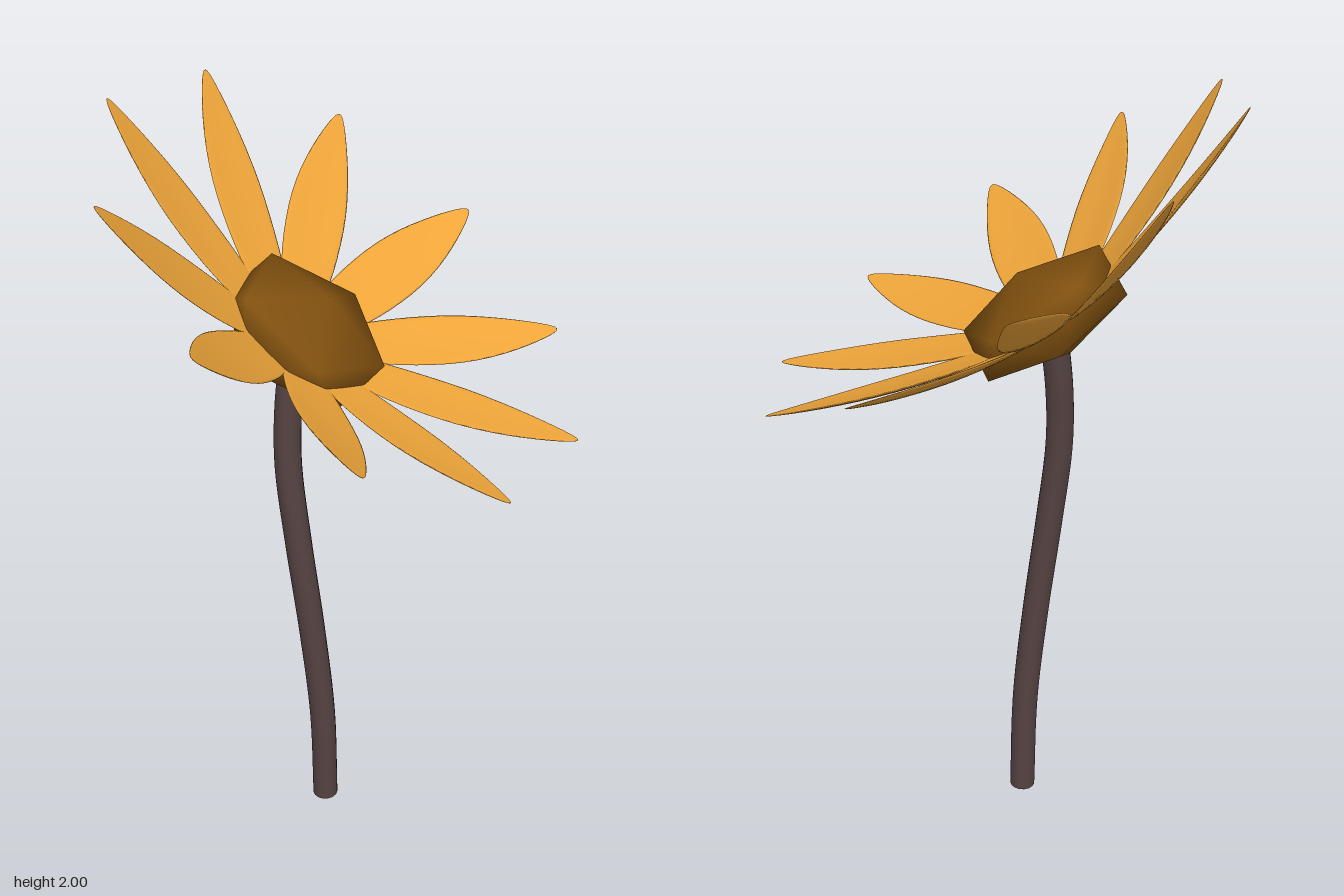
import * as THREE from 'three';
import { mergeVertices } from 'three/addons/utils/BufferGeometryUtils.js';

const petalMaterial = new THREE.MeshStandardMaterial({ color: 0xf0a63a });
const centreMaterial = new THREE.MeshStandardMaterial({ color: 0x80500f });
const stemMaterial = new THREE.MeshStandardMaterial({ color: 0x554242 });

function part(name, geometry, material) {
  const mesh = new THREE.Mesh(geometry, material);
  mesh.name = name;
  return mesh;
}

// Thin pointed leaf along +x: a sphere flattened, tapered, cupped and bent upwards.
function petalGeometry() {
  const geometry = new THREE.SphereGeometry(1, 20, 24).rotateZ(-Math.PI / 2);
  const p = geometry.attributes.position;
  for (let i = 0; i < p.count; i++) {
    const s = p.getX(i), t = p.getY(i), w = p.getZ(i);
    const u = 0.362 + 0.302 * s;
    const taper = s > 0 ? 1 - 0.45 * s * s : 1;
    const spine = 0.01 + 0.2 * u + 0.24 * u * u;
    p.setXYZ(i, u, spine + 0.007 * t + 0.008 * w * w, 0.08 * w * taper);
  }
  geometry.deleteAttribute('uv');
  geometry.deleteAttribute('normal');
  const smooth = mergeVertices(geometry, 1e-5);
  smooth.computeVertexNormals();
  return smooth;
}

// Squashed icosahedron standing on a corner, with smooth normals.
function centreGeometry() {
  const golden = (1 + Math.sqrt(5)) / 2;
  const geometry = new THREE.IcosahedronGeometry(0.2236, 0)
    .rotateZ(-Math.atan(1 / golden))
    .scale(1, 0.52, 1);
  geometry.deleteAttribute('uv');
  geometry.deleteAttribute('normal');
  const smooth = mergeVertices(geometry, 1e-4);
  smooth.computeVertexNormals();
  return smooth;
}

export function createModel() {
  const flower = new THREE.Group();
  flower.name = 'flower';

  // Gently curved stem with a closed foot
  const path = new THREE.CatmullRomCurve3([
    [-0.065, 0, 0.022], [-0.07, 0.3, 0.026], [-0.095, 0.6, 0.032], [-0.125, 0.87, 0.035],
    [-0.148, 1.1, 0.03], [-0.148, 1.25, 0.02], [-0.135, 1.41, 0.005],
  ].map(c => new THREE.Vector3(...c)));
  flower.add(part('stem', new THREE.TubeGeometry(path, 40, 0.034, 16), stemMaterial));
  const foot = part('stemFoot', new THREE.CircleGeometry(0.034, 16).rotateX(Math.PI / 2), stemMaterial);
  foot.position.copy(path.getPoint(0));
  flower.add(foot);

  // Blossom tilted towards +x
  const blossom = new THREE.Group();
  blossom.name = 'blossom';
  blossom.position.set(-0.14, 1.42, 0);
  blossom.rotation.z = -THREE.MathUtils.degToRad(33.9);
  flower.add(blossom);

  const centre = part('flowerCentre', centreGeometry(), centreMaterial);
  centre.position.y = 0.052;
  blossom.add(centre);

  // Ring of ten petals
  const petal = petalGeometry();
  for (let i = 0; i < 10; i++) {
    const mesh = part('petal', petal, petalMaterial);
    mesh.rotation.y = i * Math.PI / 5;
    blossom.add(mesh);
  }
  return flower;
}
